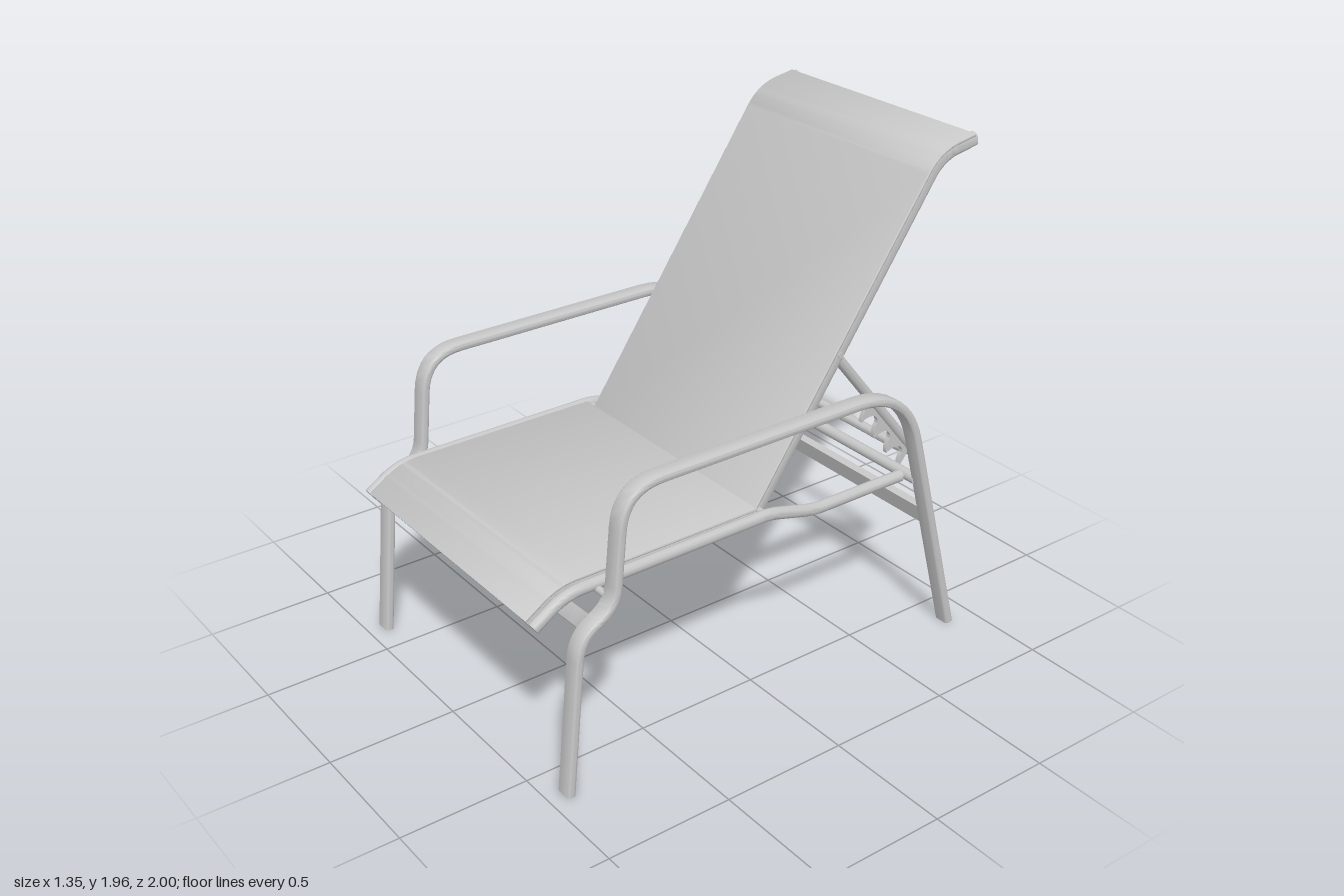
import * as THREE from 'three';
import { toCreasedNormals } from 'three/addons/utils/BufferGeometryUtils.js';

const V = (x, y, z) => new THREE.Vector3(x, y, z);
const X = V(1, 0, 0);

// Turn corners [point, trim] into a point list with rounded bends
function roundedPath(corners) {
  const out = [];
  corners.forEach(([p, trim], i) => {
    if (!trim) { out.push(p); return; }
    const toward = (q) => p.clone().add(q.clone().sub(p).setLength(trim));
    const bend = new THREE.QuadraticBezierCurve3(toward(corners[i - 1][0]), p, toward(corners[i + 1][0]));
    out.push(...bend.getPoints(10));
  });
  return out;
}

// Path in the side plane from [z, y, trim] corners
const sidePath = (x, list) => roundedPath(list.map(([z, y, trim]) => [V(x, y, z), trim]));

// Rounded rectangle cross-section, counter-clockwise
function section(w, h, r) {
  const pts = [];
  for (let c = 0; c < 4; c++) {
    const sx = c === 0 || c === 3 ? 1 : -1, sy = c < 2 ? 1 : -1;
    for (let k = 0; k <= 4; k++) {
      const a = (c + k / 4) * Math.PI / 2;
      pts.push([sx * (w / 2 - r) + r * Math.cos(a), sy * (h / 2 - r) + r * Math.sin(a)]);
    }
  }
  return pts;
}

// Sweep a bar along a planar path; side is the normal of the path's plane
function sweep(path, side, w, h, r, offset = 0) {
  const sec = section(w, h, r), n = sec.length, pos = [], idx = [];
  path.forEach((p, i) => {
    const a = path[Math.max(i - 1, 0)], b = path[Math.min(i + 1, path.length - 1)];
    const N = b.clone().sub(a).normalize().cross(side);
    for (const [u, v] of sec) {
      pos.push(...p.clone().addScaledVector(side, u).addScaledVector(N, v + offset).toArray());
    }
  });
  const last = (path.length - 1) * n;
  for (let i = 0; i < last; i += n) {
    for (let j = 0; j < n; j++) {
      const k = (j + 1) % n;
      idx.push(i + j, i + k, i + n + k, i + j, i + n + k, i + n + j);
    }
  }
  for (let j = 1; j < n - 1; j++) idx.push(0, j + 1, j, last, last + j, last + j + 1);
  const g = new THREE.BufferGeometry();
  g.setAttribute('position', new THREE.Float32BufferAttribute(pos, 3));
  g.setIndex(idx);
  return toCreasedNormals(g, 0.7);
}

export function createModel() {
  const model = new THREE.Group();
  model.name = 'recliningLounger';
  const grey = new THREE.MeshStandardMaterial({ color: 0xc6c6c6 });
  grey.name = 'lightGrey';
  const add = (name, geometry) => {
    const m = new THREE.Mesh(geometry, grey);
    m.name = name;
    model.add(m);
    return m;
  };
  const rod = (name, x0, x1, y, z, r) => {
    const m = add(name, new THREE.CylinderGeometry(r, r, Math.abs(x1 - x0), 16));
    m.rotation.z = Math.PI / 2;
    m.position.set((x0 + x1) / 2, y, z);
  };

  const legLine = [[0.925, 0.004], [0.868, 0.62, 0.085], [0.722, 0.69, 0.08], [0.682, 1.12, 0.15],
    [-0.573, 1.12, 0.24], [-0.877, 0.006]];
  const railLine = [[-0.66, 0.69], [-0.23, 0.69, 0.05], [-0.02, 0.745, 0.04], [0.86, 0.74, 0.07], [0.985, 0.657]];
  const seatLine = [[0.02, 0.742], [0.86, 0.74, 0.07], [0.985, 0.657]];
  const backLine = [[-0.995, 1.931], [-0.825, 1.9, 0.08], [-0.005, 0.712]];
  const backSlingLine = [[-0.985, 1.929], [-0.825, 1.9, 0.08], [0.0, 0.705]];

  // Reclining support: direction down the prop and its front-facing normal
  const top = V(0, 1.25, -0.38), down = V(0, -0.774, -0.632), front = V(0, -0.632, 0.774);
  const propPoint = (x, u) => V(x, 0, 0).add(top).addScaledVector(down, u);

  // Notched plate that hooks over the rear tube
  const hooks = new THREE.Shape();
  hooks.moveTo(0.33, 0);
  hooks.quadraticCurveTo(0.34, 0.06, 0.37, 0.09);
  for (let i = 0; i < 3; i++) {
    const u = 0.37 + i * 0.11;
    hooks.bezierCurveTo(u + 0.01, 0.02, u + 0.07, 0.02, u + 0.075, 0.055);
    hooks.quadraticCurveTo(u + 0.09, 0.085, u + 0.11, 0.092);
  }
  hooks.quadraticCurveTo(0.69, 0.05, 0.68, 0);
  hooks.closePath();
  const hookGeometry = new THREE.ExtrudeGeometry(hooks, { depth: 0.018, bevelEnabled: false, curveSegments: 8 });
  hookGeometry.translate(0, 0, -0.009);
  hookGeometry.applyMatrix4(new THREE.Matrix4().makeBasis(down, front, down.clone().cross(front)));

  for (const s of [1, -1]) {
    const side = s > 0 ? 'left' : 'right';
    add(side + 'ArmAndLegs', sweep(sidePath(s * 0.64, legLine), X, 0.07, 0.036, 0.014));
    add(side + 'SeatRail', sweep(sidePath(s * 0.56, railLine), X, 0.042, 0.046, 0.02));
    add(side + 'SeatSlingRail', sweep(sidePath(s * 0.515, seatLine), X, 0.036, 0.046, 0.012));
    add(side + 'BackRail', sweep(sidePath(s * 0.488, backLine), X, 0.04, 0.052, 0.015));
    add(side + 'ReclineHooks', hookGeometry).position.copy(propPoint(s * 0.45, 0));
    rod(side + 'BackPivot', s * 0.48, s * 0.56, 0.738, -0.012, 0.014);
    rod(side + 'PropPivot', s * 0.43, s * 0.512, 1.25, -0.378, 0.012);
    rod(side + 'RailBolt', s * 0.55, s * 0.62, 0.725, 0.735, 0.014);
  }

  // Fabric slings
  add('seatSling', sweep(sidePath(0, seatLine), X, 1.07, 0.012, 0.004, 0.021));
  add('backSling', sweep(sidePath(0, backSlingLine), X, 1.02, 0.012, 0.004, 0.022));

  // Bowed cross braces: [name, y, z, sag direction y, z, sag, half width]
  const braces = [
    ['frontLegBrace', 0.645, 0.818, -0.78, -0.62, 0.15, 0.62],
    ['frontSeatBrace', 0.665, 0.908, -0.8, -0.6, 0.115, 0.51],
    ['rearSeatBrace', 0.715, 0.04, -1, 0, 0.12, 0.51],
    ['lowerBackBrace', 1.215, -0.35, -0.57, -0.82, 0.085, 0.485],
    ['upperBackBrace', 1.765, -0.735, -0.57, -0.82, 0.105, 0.485],
  ];
  for (const [name, y, z, dy, dz, sag, w] of braces) {
    const dir = V(0, dy, dz).normalize(), path = [];
    for (let i = 0; i <= 28; i++) {
      const t = i / 14 - 1;
      path.push(V(t * w, y, z).addScaledVector(dir, sag * (1 - t * t)));
    }
    add(name, sweep(path, X.clone().cross(dir), 0.062, 0.02, 0.006));
  }

  // U-shaped back prop
  const prop = roundedPath([[propPoint(0.45, 0)], [propPoint(0.45, 0.765), 0.13],
    [propPoint(-0.45, 0.765), 0.13], [propPoint(-0.45, 0)]]);
  add('backProp', sweep(prop, front, 0.04, 0.04, 0.0195));

  // Rear cross members between the legs
  rod('rearTube', -0.62, 0.62, 0.69, -0.688, 0.022);
  const bar = add('rearCrossbar', new THREE.BoxGeometry(1.24, 0.075, 0.03));
  bar.position.set(0, 0.528, -0.736);
  bar.rotation.x = 0.266;

  return model;
}
